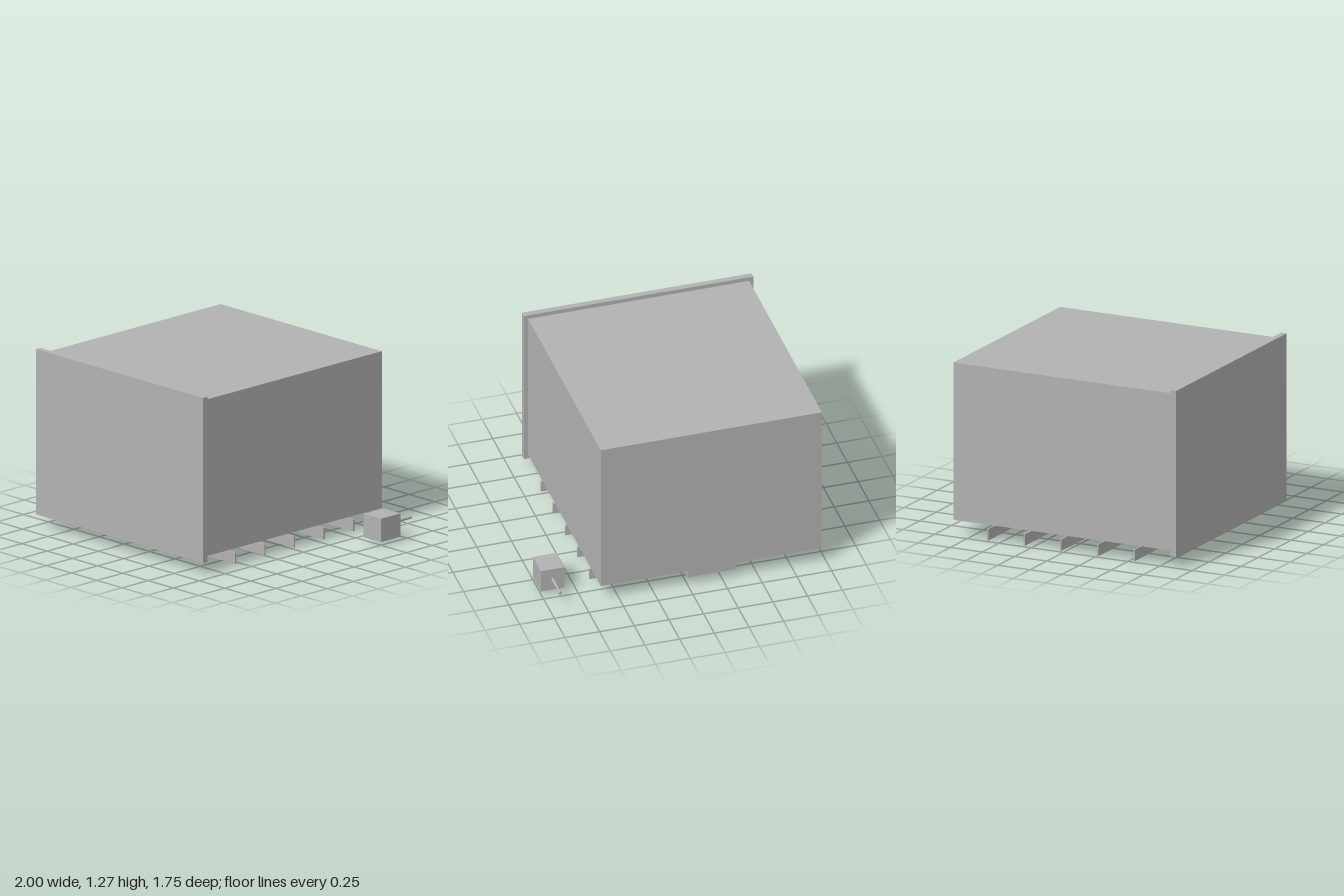
import * as THREE from 'three';

export function createModel() {
  const model = new THREE.Group();
  const grey = new THREE.MeshStandardMaterial({ color: 0xb2b2b2 });
  grey.name = 'plain grey';

  const add = (name, geometry) => {
    const mesh = new THREE.Mesh(geometry, grey);
    mesh.name = name;
    model.add(mesh);
    return mesh;
  };

  // Box given by its lower and upper limits on each axis
  const box = (name, [x0, x1], [y0, y1], [z0, z1]) => {
    const mesh = add(name, new THREE.BoxGeometry(x1 - x0, y1 - y0, z1 - z0));
    mesh.position.set((x0 + x1) / 2, (y0 + y1) / 2, (z0 + z1) / 2);
    return mesh;
  };

  // Main body and the slightly larger front panel
  const width = [-0.97, 0.625];
  const centreX = (width[0] + width[1]) / 2;
  box('body', width, [0.112, 1.238], [-0.872, 0.83]);
  box('frontPanel', [-1, 0.655], [0.08, 1.268], [0.83, 0.873]);

  // Block under the rear edge with a thin cover plate
  box('rearBlock', [centreX - 0.17, centreX + 0.17], [0.06, 0.112], [-0.872, -0.63]);
  box('rearBlockCover', [centreX - 0.155, centreX + 0.155], [0.05, 0.06], [-0.857, -0.645]);

  // Rounded rectangle outline, used for the frames and their openings
  const roundedRect = (path, w, h, r) => {
    const x = w / 2, y = h / 2;
    path.absarc(x - r, y - r, r, 0, Math.PI / 2);
    path.absarc(r - x, y - r, r, Math.PI / 2, Math.PI);
    path.absarc(r - x, r - y, r, Math.PI, Math.PI * 1.5);
    path.absarc(x - r, r - y, r, Math.PI * 1.5, Math.PI * 2);
    path.closePath();
    return path;
  };
  const frameShape = roundedRect(new THREE.Shape(), 0.26, 0.205, 0.02);
  frameShape.holes.push(roundedRect(new THREE.Path(), 0.215, 0.16, 0.012));
  const frameGeometry = new THREE.ExtrudeGeometry(frameShape, {
    depth: 0.017, bevelEnabled: false, curveSegments: 4,
  });
  frameGeometry.rotateX(-Math.PI / 2);

  // Five rails across the underside, with a row of four frames over each
  for (let row = 0; row < 5; row++) {
    const railZ = 0.533 - row * 0.284;
    box('rail', width, [0, 0.082], [railZ - 0.006, railZ + 0.006]);
    for (let column = 0; column < 4; column++) {
      const frame = add('undersideFrame', frameGeometry);
      frame.position.set(centreX + (column - 1.5) * 0.363, 0.081, 0.591 - row * 0.2925);
    }
  }

  // Separate side block with a rod pointing to the rear
  box('sideBlock', [0.83, 1], [0.022, 0.19], [-0.687, -0.5]);
  const rod = add('sideRod', new THREE.CylinderGeometry(0.011, 0.011, 0.187, 12));
  rod.rotation.x = Math.PI / 2;
  rod.position.set(0.915, 0.108, -0.7785);

  return model;
}
